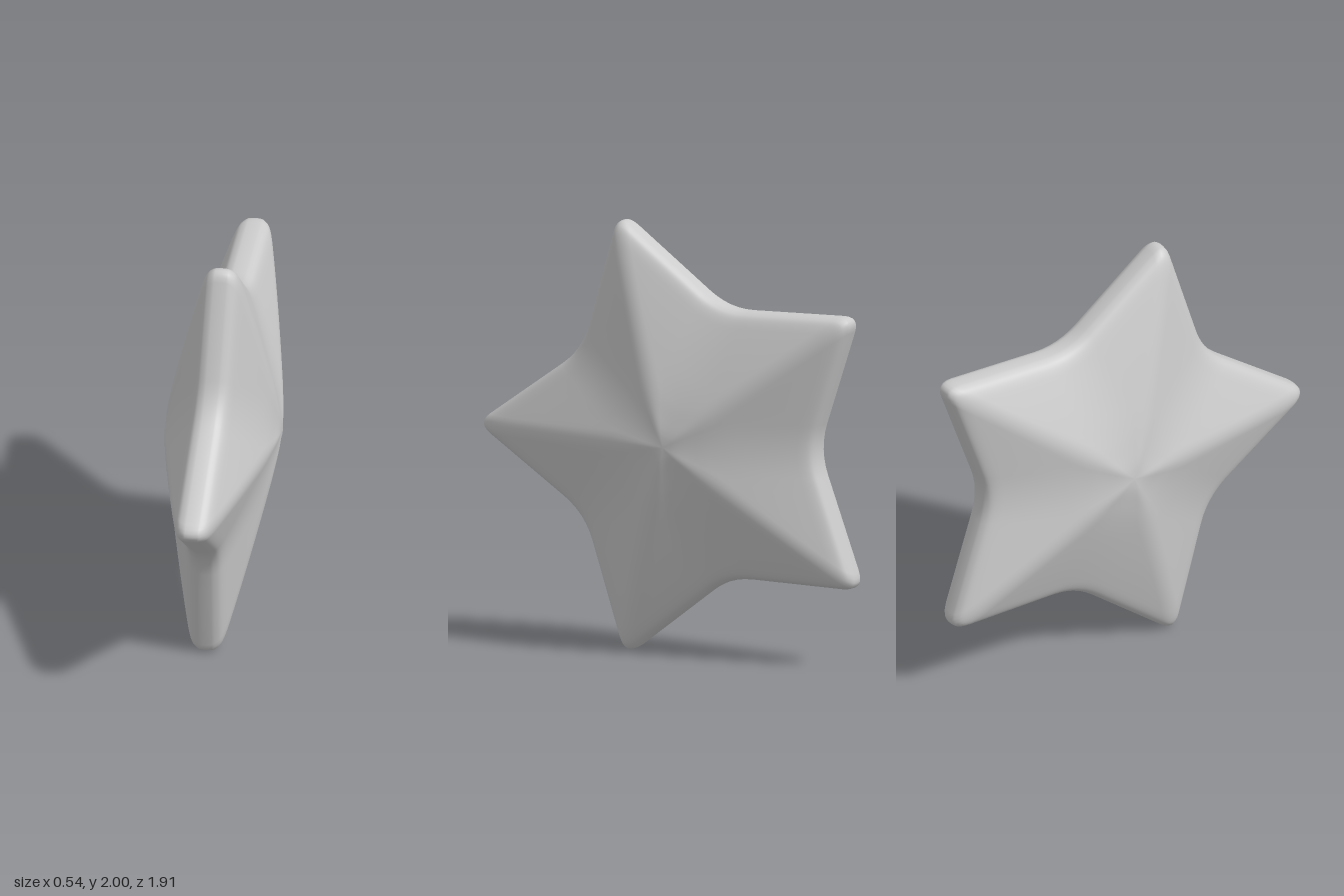
import * as THREE from 'three';
import { mergeVertices } from 'three/addons/utils/BufferGeometryUtils.js';

const TIP = 1.083, NOTCH = 0.655; // corner radii before rounding
const CORNER_STEPS = 6, EDGE_STEPS = 4;

// Rounded five-pointed outline; x runs along +z of the model, y upwards.
function starOutline(s) {
  const corners = [];
  for (let i = 0; i < 10; i++) {
    const a = (i * Math.PI) / 5, r = i % 2 ? NOTCH : TIP;
    corners.push(new THREE.Vector2(r * Math.cos(a), r * Math.sin(a)));
  }
  // Rounding widens towards the middle so ridges and valleys stay soft.
  const tipCut = Math.min(0.08 / Math.max(s, 0.01), 0.25);
  const notchCut = Math.min(0.13 / Math.max(s, 0.01), 0.3);
  const arcs = corners.map((c, i) => {
    const cut = i % 2 ? notchCut : tipCut;
    const towards = (o) => o.clone().sub(c).setLength(cut).add(c);
    return new THREE.QuadraticBezierCurve(
      towards(corners[(i + 9) % 10]), c, towards(corners[(i + 1) % 10]));
  });
  const points = [];
  arcs.forEach((arc, i) => {
    points.push(...arc.getPoints(CORNER_STEPS));
    const next = arcs[(i + 1) % 10].v0;
    for (let k = 1; k < EDGE_STEPS; k++) points.push(arc.v2.clone().lerp(next, k / EDGE_STEPS));
  });
  return points;
}

function starGeometry() {
  // Section from the middle of one face, round the rim, to the other face.
  const half = [[0, 0.268], [0.08, 0.264], [0.19, 0.248], [0.3, 0.229], [0.476, 0.192],
    [0.667, 0.149], [0.857, 0.103], [0.93, 0.083], [0.97, 0.066], [0.99, 0.047], [1, 0.028]];
  const section = [...half, ...half.map(([s, h]) => [s, -h]).reverse()]
    .map(([s, h]) => new THREE.Vector3(s, h, 0));
  const rings = new THREE.CatmullRomCurve3(section).getPoints(63);

  const positions = [], index = [];
  let n = 0;
  rings.forEach(({ x: s, y: h }) => {
    const outline = starOutline(s);
    n = outline.length;
    for (const p of outline) {
      const y = s * p.y;
      positions.push(h + 0.035 * y, 1 + y, s * p.x - 0.1); // slight sideways lean
    }
  });
  for (let i = 0; i < rings.length - 1; i++) {
    for (let j = 0; j < n; j++) {
      const k = (j + 1) % n;
      const a = i * n + j, b = i * n + k, c = a + n, d = b + n;
      if (i > 0) index.push(a, b, c);
      if (i < rings.length - 2) index.push(b, d, c);
      else index.push(a, b, c);
    }
  }
  let geometry = new THREE.BufferGeometry();
  geometry.setAttribute('position', new THREE.Float32BufferAttribute(positions, 3));
  geometry.setIndex(index.filter((_, t) => true));
  geometry = mergeVertices(geometry, 1e-5);
  geometry.computeVertexNormals();
  return geometry;
}

export function createModel() {
  const group = new THREE.Group();
  group.name = 'star';
  const body = new THREE.Mesh(starGeometry(), new THREE.MeshStandardMaterial({ color: 0xcccccc }));
  body.name = 'starBody';
  group.add(body);
  return group;
}
